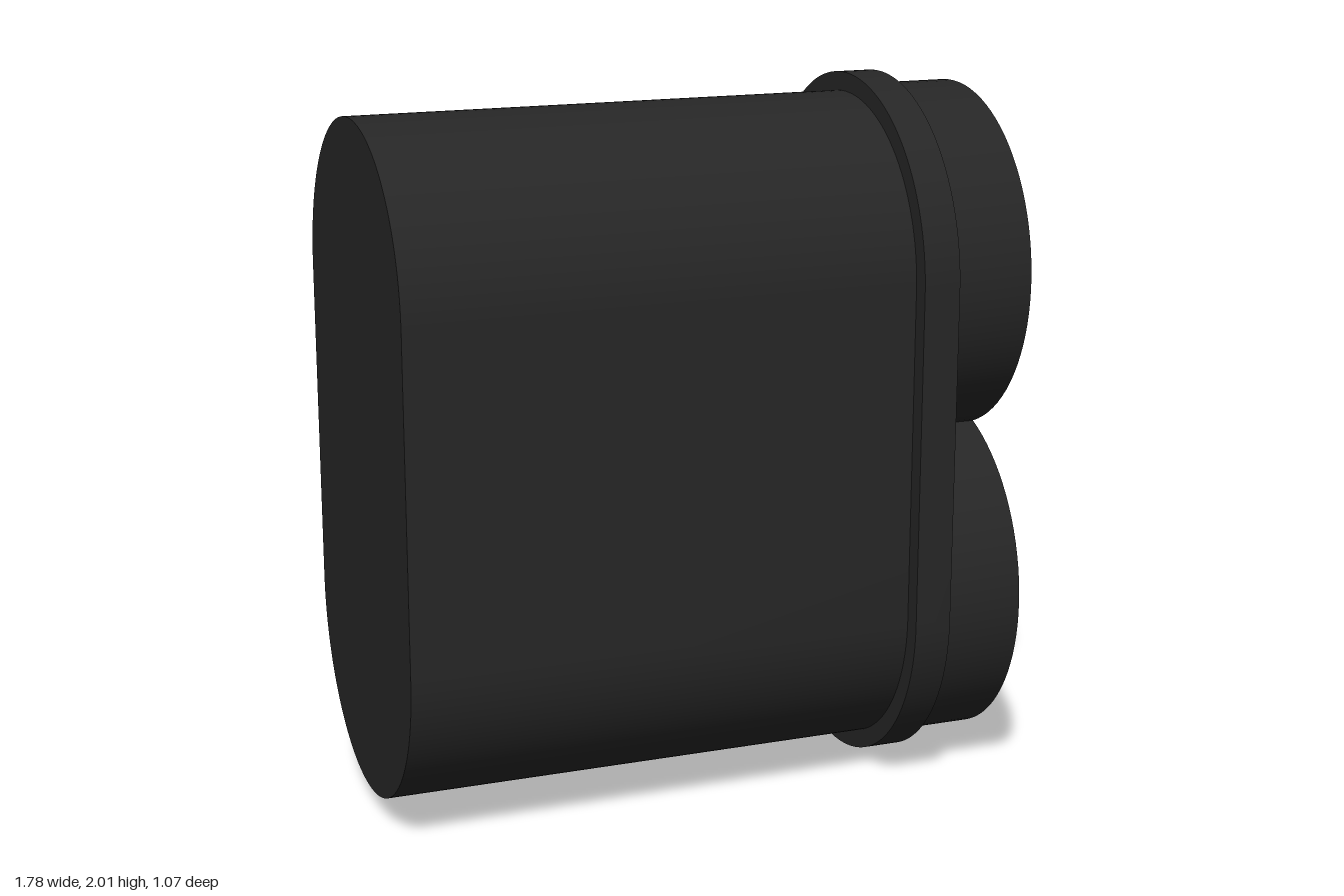
import * as THREE from 'three';
import { toCreasedNormals } from 'three/addons/utils/BufferGeometryUtils.js';

const UPPER = 1.47, LOWER = 0.53; // heights of the two arc centres
const SEGMENTS = 40;

// Upright slot outline: two half circles joined by straight sides
function slotShape(r) {
  const s = new THREE.Shape();
  s.absarc(0, UPPER, r, 0, Math.PI, false);
  s.absarc(0, LOWER, r, Math.PI, Math.PI * 2, false);
  s.closePath();
  return s;
}

// Outline of two overlapping circles, pinched where they meet at y = 1
function doubleCircleShape(r, offset) {
  const a = Math.asin(offset / r);
  const s = new THREE.Shape();
  s.absarc(0, 1 + offset, r, -a, Math.PI + a, false);
  s.absarc(0, 1 - offset, r, Math.PI - a, Math.PI * 2 + a, false);
  s.closePath();
  return s;
}

export function createModel() {
  const group = new THREE.Group();
  group.name = 'twinBarrelHousing';
  const material = new THREE.MeshStandardMaterial({ color: 0x262626 });

  // Extrude an outline along x between two positions
  function addPart(name, shape, x0, x1) {
    const extruded = new THREE.ExtrudeGeometry(shape, {
      depth: x1 - x0, bevelEnabled: false, curveSegments: SEGMENTS,
    });
    extruded.rotateY(Math.PI / 2);
    extruded.translate(x0, 0, 0);
    const mesh = new THREE.Mesh(toCreasedNormals(extruded, 0.5), material);
    mesh.name = name;
    group.add(mesh);
  }

  // Long main body
  addPart('body', slotShape(0.48), -0.89, 0.55);

  // Collar with a small screw hole on each side of the pinch
  const collar = slotShape(0.533);
  for (const side of [-1, 1]) {
    const hole = new THREE.Path();
    hole.absarc(side * 0.395, 1, 0.055, 0, Math.PI * 2, true);
    collar.holes.push(hole);
  }
  addPart('collar', collar, 0.55, 0.655);

  // Twin round end caps
  addPart('endCaps', doubleCircleShape(0.5, 0.465), 0.655, 0.89);

  return group;
}
